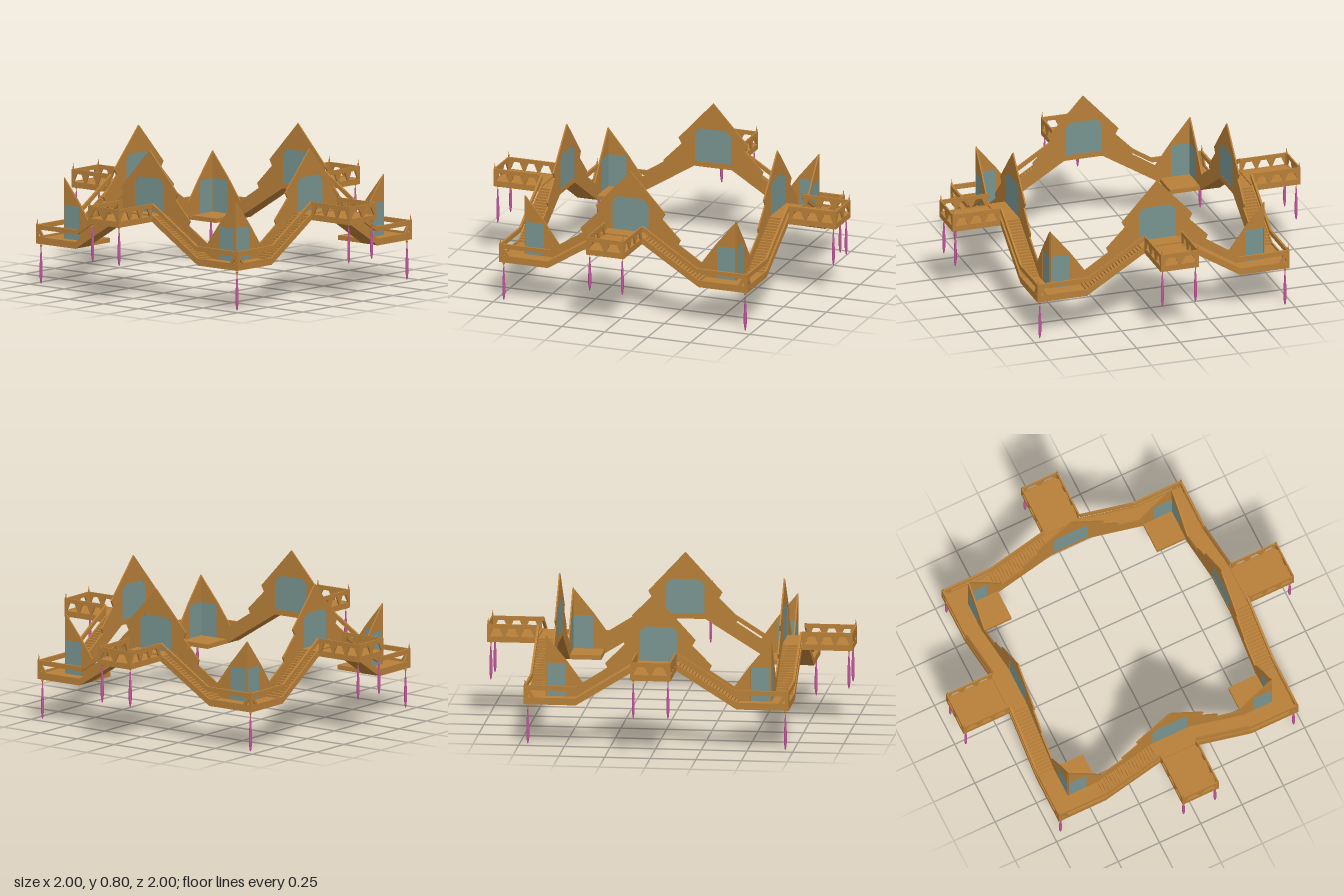
import * as THREE from 'three';

const wood = new THREE.MeshStandardMaterial({ color: 0xb87f38 });
wood.name = 'wood';
const glass = new THREE.MeshStandardMaterial({ color: 0x78948f });
glass.name = 'greyBlueGlass';
const pink = new THREE.MeshStandardMaterial({ color: 0xc657a0 });
pink.name = 'pinkCrystal';

const IN = 0.615, OUT = 0.725;        // inner and outer edge of the walkway
const FOOT = 0.44, HEAD = 0.11;       // x of the stair foot and head
const LOW = 0.25, HIGH = 0.46;        // floor heights

const shapeOf = pts => new THREE.Shape(pts.map(p => new THREE.Vector2(...p)));
const flip = pts => pts.map(([x, y]) => [-x, y]).reverse();

function add(parent, name, geometry, material, x = 0, y = 0, z = 0) {
  const mesh = new THREE.Mesh(geometry, material);
  mesh.name = name;
  mesh.position.set(x, y, z);
  parent.add(mesh);
  return mesh;
}

// Flat outline in x,y pushed along z from z0 to z1
function slab(parent, name, pts, z0, z1, material = wood, holes = []) {
  const shape = shapeOf(pts);
  shape.holes = holes.map(h => new THREE.Path(h.map(p => new THREE.Vector2(...p))));
  const geo = new THREE.ExtrudeGeometry(shape, { depth: z1 - z0, bevelEnabled: false });
  return add(parent, name, geo, material, 0, 0, z0);
}

// Beam that follows a path with a constant vertical thickness
function band(parent, name, path, h, z0, z1) {
  const top = path.map(([x, y]) => [x, y + h]).reverse();
  return slab(parent, name, [...path, ...top], z0, z1);
}

// Railing panel with a row of tapered openings, centred on x = 0
function trussRail(name, width, count) {
  const g = new THREE.Group();
  const w = width / 2, pitch = (width - 0.02) / count, holes = [];
  for (let i = 0; i < count; i++) {
    const c = (i - (count - 1) / 2) * pitch;
    const b = pitch * 0.43, t = pitch * 0.2;
    holes.push([[c - b, 0.462], [c + b, 0.462], [c + t, 0.507], [c - t, 0.507]]);
  }
  slab(g, name + 'Panel', [[-w, 0.43], [w, 0.43], [w, 0.53], [-w, 0.53]], -0.004, 0.004, wood, holes);
  g.name = name;
  return g;
}

// Hanging crystal under a small wooden bead
function pendant(parent, x, y, z) {
  const profile = [[0, -0.22], [0.004, -0.212], [0.0085, -0.18], [0.0085, -0.12], [0.003, -0.025], [0, -0.02]];
  const geo = new THREE.LatheGeometry(profile.map(p => new THREE.Vector2(...p)), 6);
  add(parent, 'pendantCrystal', geo, pink, x, y, z);
  add(parent, 'pendantBead', new THREE.SphereGeometry(0.007, 8, 6), wood, x, y - 0.007, z);
  add(parent, 'pendantCord', new THREE.CylinderGeometry(0.002, 0.002, 0.03, 6), wood, x, y - 0.015, z);
}

function spike(parent, x, y, z) {
  add(parent, 'finialPost', new THREE.BoxGeometry(0.012, 0.1, 0.012), wood, x, y - 0.05, z);
  add(parent, 'finialSpike', new THREE.ConeGeometry(0.005, 0.035, 6), wood, x, y + 0.0175, z);
}

// One side of the square ring, facing +z, with one corner
function buildSide() {
  const side = new THREE.Group();

  // Stairs and landing: stepped top, smooth sloping underside
  const N = 20, run = (FOOT - HEAD) / N, rise = (HIGH - LOW) / N;
  const steps = [];
  for (let i = 0; i < N; i++) {
    const x = FOOT - i * run;
    steps.push([x, LOW + i * rise], [x, LOW + (i + 1) * rise]);
  }
  steps.push([HEAD, HIGH]);
  const under = [[HEAD, 0.43], [FOOT, 0.225]];
  slab(side, 'stairs', [...flip(under), ...under, ...steps, ...flip(steps)], IN, OUT - 0.006);

  // Outer stringer and handrail
  const line = (a, b) => [[-OUT, a], [-FOOT, a], [-HEAD, b], [HEAD, b], [FOOT, a], [OUT, a]];
  band(side, 'stringer', line(0.224, 0.43), 0.038, OUT - 0.008, OUT);
  for (const s of [-1, 1]) {
    const path = [[HEAD, 0.505], [FOOT - 0.01, 0.303], [OUT, 0.303]];
    band(side, 'handrail', s > 0 ? path : flip(path), 0.026, OUT - 0.012, OUT);
    // Corner post and slanted brace under the handrail
    const brace = [[0.66, 0.25], [0.68, 0.25], [0.705, 0.288], [0.705, 0.25], [OUT, 0.25], [OUT, 0.305], [0.695, 0.305]];
    slab(side, 'cornerBrace', s > 0 ? brace : flip(brace), OUT - 0.008, OUT);
  }

  // Thin gabled wall with a middle door and a half door at each corner
  const roof = [[IN, 0.585], [0.5, 0.445], [0.415, 0.328], [0.28, 0.415], [0.292, 0.44],
    [0.185, 0.548], [0.203, 0.58]];
  const base = [[HEAD, 0.43], [FOOT, 0.225], [IN, 0.225]];
  const door = [[-0.105, HIGH], [0.105, HIGH], [0.105, 0.62], [0.075, 0.65], [-0.075, 0.65], [-0.105, 0.62]];
  const halfDoor = [[0.505, LOW], [0.61, LOW], [0.61, 0.435], [0.513, 0.435], [0.505, 0.427]];
  const doors = [door, halfDoor, flip(halfDoor)];
  slab(side, 'gableWall', [...flip(base), ...base, ...roof, [0, 0.8], ...flip(roof)],
    IN - 0.004, IN + 0.004, wood, doors);
  doors.forEach(d => slab(side, 'doorPane', d, IN - 0.003, IN + 0.003, glass));

  // Balcony floor, railings, finials and pendants
  add(side, 'balconyFloor', new THREE.BoxGeometry(0.22, 0.028, 0.31), wood, 0, 0.446, 0.845);
  const front = trussRail('balconyFrontRail', 0.22, 2);
  front.position.z = 0.996;
  side.add(front);
  for (const s of [-1, 1]) {
    const rail = trussRail('balconySideRail', 0.275, 3);
    rail.rotation.y = Math.PI / 2;
    rail.position.set(s * 0.106, 0, 0.8625);
    side.add(rail);
    spike(side, s * 0.104, 0.53, 0.994);
    pendant(side, s * 0.095, 0.436, 0.98);
  }

  // Corner platform
  const size = OUT - FOOT, mid = (OUT + FOOT) / 2;
  add(side, 'cornerPlatform', new THREE.BoxGeometry(size, 0.025, size), wood, mid, 0.2375, mid);
  spike(side, 0.719, 0.33, 0.719);
  pendant(side, 0.705, 0.22, 0.705);
  return side;
}

export function createModel() {
  const model = new THREE.Group();
  model.name = 'ringWalkway';
  ['front', 'left', 'back', 'right'].forEach((name, i) => {
    const side = buildSide();
    side.name = name + 'Side';
    side.rotation.y = i * Math.PI / 2;
    model.add(side);
  });
  return model;
}
